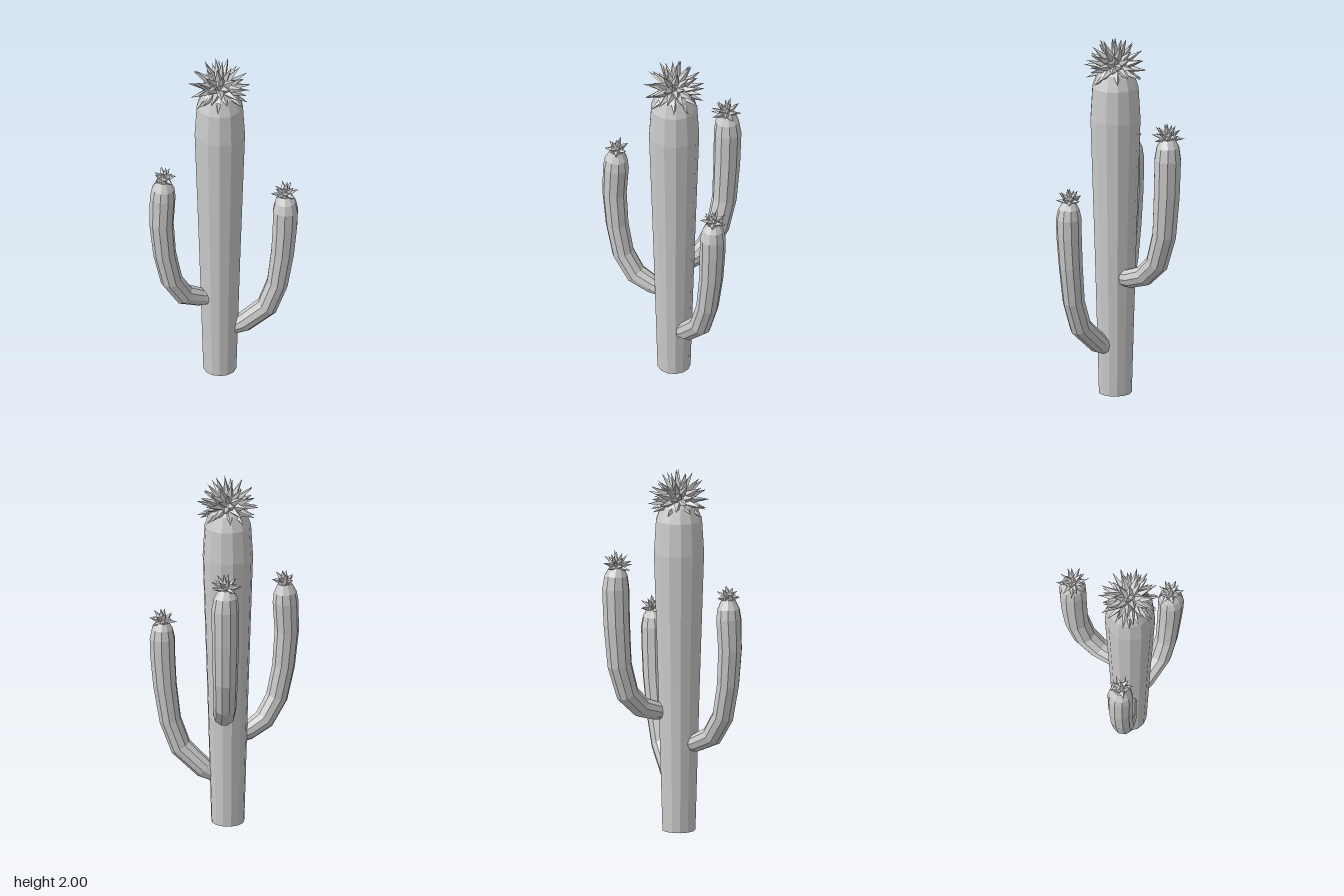
import * as THREE from 'three';
import { mergeGeometries } from 'three/addons/utils/BufferGeometryUtils.js';

const material = new THREE.MeshStandardMaterial({ color: 0xcccccc, flatShading: true });

function addMesh(group, name, geometry) {
  const mesh = new THREE.Mesh(geometry, material);
  mesh.name = name;
  group.add(mesh);
  return mesh;
}

// Tapered tube through rings [x, y, z, radius], closed at both ends
function sweep(rings, sides) {
  const pts = rings.map(([x, y, z]) => new THREE.Vector3(x, y, z));
  const last = pts.length - 1;
  const up = new THREE.Vector3(0, 1, 0);
  // the arm bends in one upright plane, so its side axis stays fixed
  const side = pts[last].clone().sub(pts[0]).setY(0).cross(up).normalize();
  const positions = [];
  const index = [];
  rings.forEach(([, , , r], i) => {
    const t = pts[Math.min(i + 1, last)].clone().sub(pts[Math.max(i - 1, 0)]).normalize();
    const n = t.clone().cross(side).normalize();
    for (let j = 0; j < sides; j++) {
      const a = (j / sides) * Math.PI * 2;
      const p = pts[i].clone().addScaledVector(side, r * Math.cos(a)).addScaledVector(n, r * Math.sin(a));
      positions.push(p.x, p.y, p.z);
    }
  });
  const at = (i, j) => i * sides + (j % sides);
  for (let i = 0; i < last; i++) {
    for (let j = 0; j < sides; j++) {
      index.push(at(i, j), at(i, j + 1), at(i + 1, j + 1), at(i, j), at(i + 1, j + 1), at(i + 1, j));
    }
  }
  const start = positions.length / 3;
  positions.push(...pts[0].toArray(), ...pts[last].toArray());
  for (let j = 0; j < sides; j++) {
    index.push(start, at(0, j + 1), at(0, j), start + 1, at(last, j), at(last, j + 1));
  }
  const g = new THREE.BufferGeometry();
  g.setAttribute('position', new THREE.Float32BufferAttribute(positions, 3));
  g.setIndex(index);
  g.computeVertexNormals();
  return g;
}

// Ball of pointed spikes spread evenly from straight up down to the height minY
function spikeBurst(count, core, length, width, minY) {
  const parts = [new THREE.IcosahedronGeometry(core, 1)];
  const up = new THREE.Vector3(0, 1, 0);
  for (let i = 0; i < count; i++) {
    const y = 1 - (1 - minY) * ((i + 0.15) / count);
    const r = Math.sqrt(1 - y * y);
    const a = i * 2.39996;
    const dir = new THREE.Vector3(r * Math.cos(a), y, r * Math.sin(a));
    const reach = length * (1 - 0.1 * (i % 3 === 1));
    const base = core * 0.8;
    const spike = new THREE.ConeGeometry(width, reach - base, 4, 1, true);
    spike.translate(0, (reach + base) / 2, 0);
    spike.applyQuaternion(new THREE.Quaternion().setFromUnitVectors(up, dir));
    parts.push(spike.toNonIndexed());
  }
  return mergeGeometries(parts);
}

export function createModel() {
  const model = new THREE.Group();
  model.name = 'cactus';

  // Trunk, widening upward to a rounded shoulder
  const profile = [[0, 0], [0.09, 0], [0.113, 0.8], [0.137, 1.54], [0.126, 1.72], [0.098, 1.8], [0.06, 1.84], [0, 1.85]];
  const trunk = addMesh(model, 'trunk',
    new THREE.LatheGeometry(profile.map(([r, y]) => new THREE.Vector2(r, y)), 13));
  trunk.position.set(0.02, 0, 0.083);

  // Crown of spikes
  const crown = addMesh(model, 'crownSpikes', spikeBurst(52, 0.075, 0.172, 0.024, -0.5));
  crown.position.set(0.02, 1.829, 0.08);

  // Arms: rings are [x, y, z, radius] from the root to the tip
  const arms = [
    {
      name: 'rightArm', count: 12, reach: 0.07, tip: [-0.315, 1.335, 0.075],
      rings: [[-0.05, 0.49, 0.085, 0.045], [-0.1, 0.5, 0.085, 0.05], [-0.2, 0.55, 0.088, 0.058],
        [-0.275, 0.67, 0.086, 0.06], [-0.313, 0.85, 0.08, 0.062], [-0.33, 1.05, 0.076, 0.066],
        [-0.322, 1.22, 0.075, 0.07], [-0.32, 1.275, 0.075, 0.062], [-0.318, 1.325, 0.075, 0.038]],
    },
    {
      name: 'leftArm', count: 14, reach: 0.078, tip: [0.325, 1.148, 0.26],
      rings: [[0.085, 0.275, 0.125, 0.045], [0.13, 0.302, 0.15, 0.055], [0.235, 0.42, 0.222, 0.06],
        [0.285, 0.575, 0.248, 0.06], [0.312, 0.78, 0.258, 0.065], [0.322, 0.95, 0.265, 0.069],
        [0.324, 1.05, 0.266, 0.07], [0.325, 1.105, 0.265, 0.058], [0.325, 1.143, 0.262, 0.036]],
    },
    {
      name: 'backArm', count: 18, reach: 0.092, tip: [0.19, 1.498, -0.25],
      rings: [[0.08, 0.665, 0.02, 0.046], [0.1, 0.67, -0.02, 0.052], [0.132, 0.7, -0.105, 0.058],
        [0.165, 0.785, -0.185, 0.063], [0.185, 0.95, -0.23, 0.067], [0.192, 1.18, -0.246, 0.073],
        [0.195, 1.38, -0.252, 0.075], [0.193, 1.45, -0.252, 0.064], [0.19, 1.495, -0.25, 0.04]],
    },
  ];
  for (const { name, rings, count, reach, tip } of arms) {
    addMesh(model, name, sweep(rings, 10));
    const spikes = addMesh(model, name + 'Spikes', spikeBurst(count, 0.034, reach, 0.016, -0.15));
    spikes.position.set(...tip);
  }
  return model;
}
